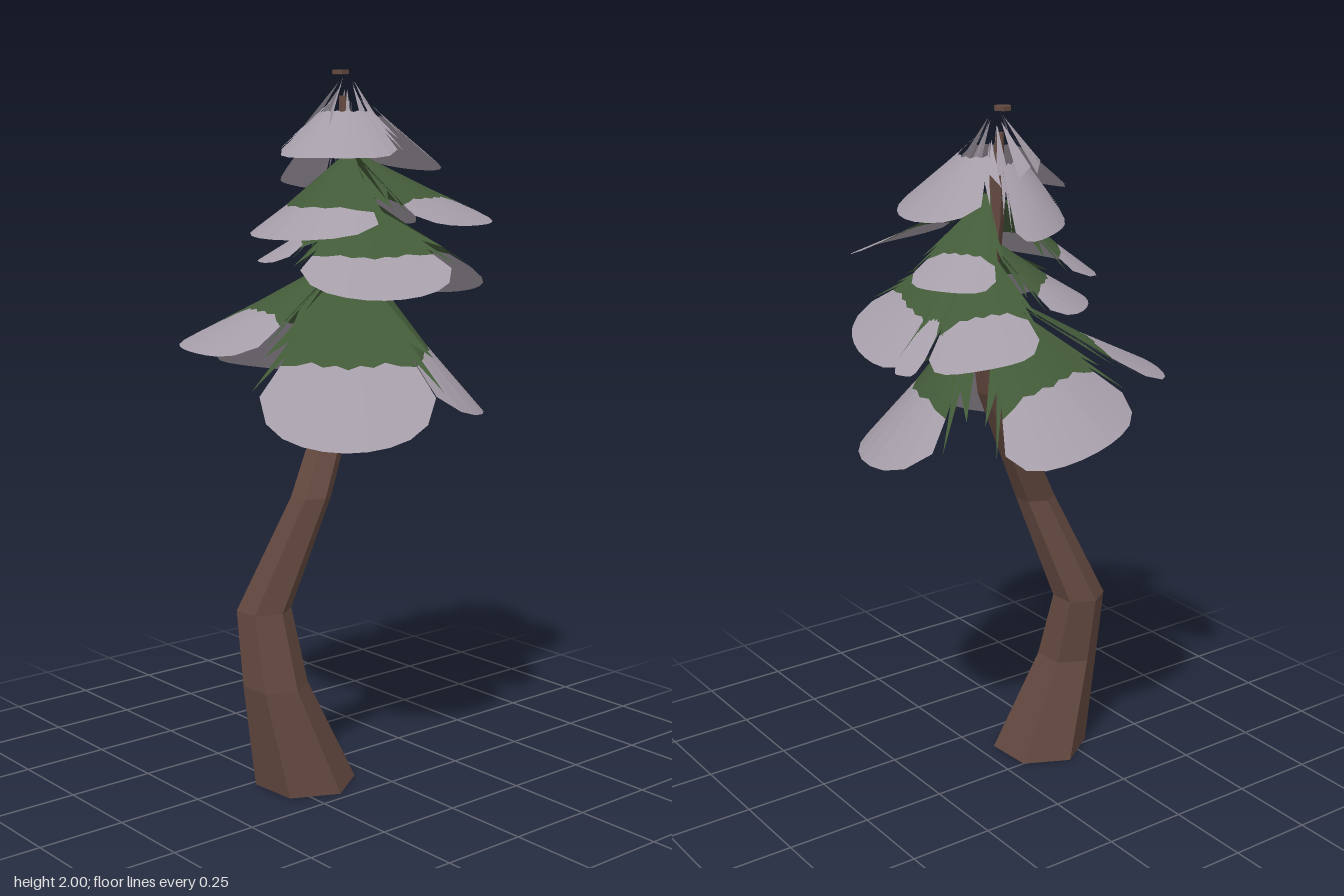
import * as THREE from 'three';

const mat = (name, color, side = THREE.FrontSide) => {
  const m = new THREE.MeshStandardMaterial({ color, flatShading: true, side });
  m.name = name;
  return m;
};

// Triangle-soup geometry from a list of Vector3 corners
function soup(points) {
  const g = new THREE.BufferGeometry().setFromPoints(points);
  g.computeVertexNormals();
  return g;
}

function addMesh(parent, geometry, material, name) {
  const m = new THREE.Mesh(geometry, material);
  m.name = name;
  parent.add(m);
  return m;
}

// Crooked six-sided trunk: rings of [x, y, z, radius]
function trunkGeometry() {
  const rings = [
    [0.08, 0, 0.18, 0.145], [0.06, 0.3, 0.27, 0.092], [0.015, 0.51, 0.275, 0.078],
    [0.085, 0.83, 0.16, 0.058], [0.03, 1.2, -0.03, 0.045], [0.0, 1.45, -0.09, 0.038],
    [0.0, 1.7, -0.05, 0.03], [-0.012, 1.93, -0.035, 0.01],
  ];
  const sides = 6, out = [];
  const at = ([x, y, z, r], i) => {
    const a = (i / sides) * Math.PI * 2 + 0.59;
    return new THREE.Vector3(x + r * Math.sin(a), y, z + r * Math.cos(a));
  };
  const mid = ([x, y, z]) => new THREE.Vector3(x, y, z);
  const low = rings[0], top = rings[rings.length - 1];
  for (let i = 0; i < sides; i++) {
    for (let k = 0; k < rings.length - 1; k++) {
      const a = at(rings[k], i), b = at(rings[k], i + 1);
      const c = at(rings[k + 1], i + 1), d = at(rings[k + 1], i);
      out.push(a, b, c, a, c, d);
    }
    out.push(mid(low), at(low, i + 1), at(low, i), mid(top), at(top, i), at(top, i + 1));
  }
  return soup(out);
}

// One drooping bough: green inner fan, snowy rounded rim, green needles at its sides
function bough(tier, [deg, half, R, rimY, lift, tilt], needle, snow) {
  const { cx, cz, apex, split, start } = tier;
  const n = 10, rad = Math.PI / 180;
  const at = (u, s) => {
    const a = (deg + u * half) * rad;
    const r = 0.02 + (R - 0.02) * s;
    const y = apex + (rimY - apex) * Math.pow(s, 0.9) + (lift * u * u + tilt * u) * s;
    return new THREE.Vector3(cx + r * Math.sin(a), y, cz + r * Math.cos(a));
  };
  const rim = (u) => 1 - 0.13 * Math.pow(u, 6);
  const edge = (i, u) => split + (i % 2 ? 0.01 : -0.01) + (tier.bare ? 0 : 0.12 * u ** 4);
  const green = [], white = [];
  for (let i = 0; i < n; i++) {
    const u = (i / n) * 2 - 1, v = ((i + 1) / n) * 2 - 1;
    const a = at(u, start), b = at(v, start), c = at(v, edge(i + 1, v)), d = at(u, edge(i, u));
    if (!tier.bare) green.push(a, d, c, a, c, b);
    const e = at(v, rim(v)), f = at(u, rim(u));
    white.push(d, f, e, d, e, c);
  }
  for (const s of [-1, 1]) {
    const p = [at(s * 0.95, 0.15), at(s * 1.1, 0.88), at(s, 0.6)];
    const q = [at(s * 1.02, 0.12), at(s * 1.25, 0.7), at(s * 1.05, 0.5)];
    const list = tier.bare ? white : green;
    list.push(...(s > 0 ? [p[0], p[2], p[1], q[0], q[2], q[1]] : [...p, ...q]));
  }
  const g = new THREE.Group();
  g.name = 'bough';
  if (green.length) addMesh(g, soup(green), needle, 'needles');
  addMesh(g, soup(white), snow, 'snowRim');
  return g;
}

export function createModel() {
  const bark = mat('bark', 0x62483f);
  const needle = mat('needle green', 0x435b39, THREE.DoubleSide);
  const snow = mat('snow grey', 0xa59da8, THREE.DoubleSide);

  const tree = new THREE.Group();
  tree.name = 'pineTree';
  addMesh(tree, trunkGeometry(), bark, 'trunk');
  const cap = addMesh(tree, new THREE.CylinderGeometry(0.025, 0.025, 0.012, 6), bark, 'trunkTip');
  cap.position.set(-0.015, 1.994, -0.03);

  // Boughs: [heading in degrees from the front, half angle, reach, rim height, lift of both sides, sideways tilt]
  const tiers = [
    { name: 'lowTier', cx: 0.02, cz: -0.04, apex: 1.49, start: 0, split: 0.56,
      boughs: [[-15, 30, 0.49, 1.24, 0, 0], [48, 38, 0.44, 1.0, 0.08, 0],
        [-84, 36, 0.42, 1.13, 0.01, 0.05], [150, 56, 0.38, 1.04, 0.03, 0]] },
    { name: 'middleTier', cx: 0.01, cz: -0.08, apex: 1.65, start: 0, split: 0.58,
      boughs: [[60, 40, 0.37, 1.39, 0.05, 0], [-124, 30, 0.33, 1.37, 0, 0.03],
        [167, 35, 0.36, 1.37, 0.02, -0.04], [-40, 40, 0.29, 1.47, 0, 0], [204, 6, 0.4, 1.36, 0, 0]] },
    { name: 'upperTier', cx: 0.0, cz: -0.06, apex: 1.77, start: 0, split: 0.6,
      boughs: [[0, 66, 0.29, 1.54, 0.02, 0], [111, 33, 0.4, 1.58, 0.01, 0], [-150, 28, 0.29, 1.56, 0, 0]] },
    { name: 'topTier', cx: 0.0, cz: -0.05, apex: 1.95, start: 0.3, split: 0.3, bare: true,
      boughs: [[36, 54, 0.23, 1.76, 0, 0], [171, 56, 0.26, 1.72, 0.03, 0], [-72, 34, 0.2, 1.68, 0, 0.02]] },
  ];
  for (const tier of tiers) {
    const g = new THREE.Group();
    g.name = tier.name;
    for (const b of tier.boughs) g.add(bough(tier, b, needle, snow));
    tree.add(g);
  }

  // Thin frosted twigs hanging around the tip
  const twigs = [];
  for (let i = 0; i < 9; i++) {
    const a = i * 2.4, r = 0.07 + 0.02 * (i % 3), w = 0.14;
    const p = (ang, rr, y) => new THREE.Vector3(rr * Math.sin(ang), y, -0.04 + rr * Math.cos(ang));
    twigs.push(p(a, 0.02, 1.98 - 0.01 * (i % 4)), p(a - w, r, 1.82), p(a + w, r * 1.1, 1.85));
  }
  addMesh(tree, soup(twigs), snow, 'tipTwigs');
  return tree;
}
